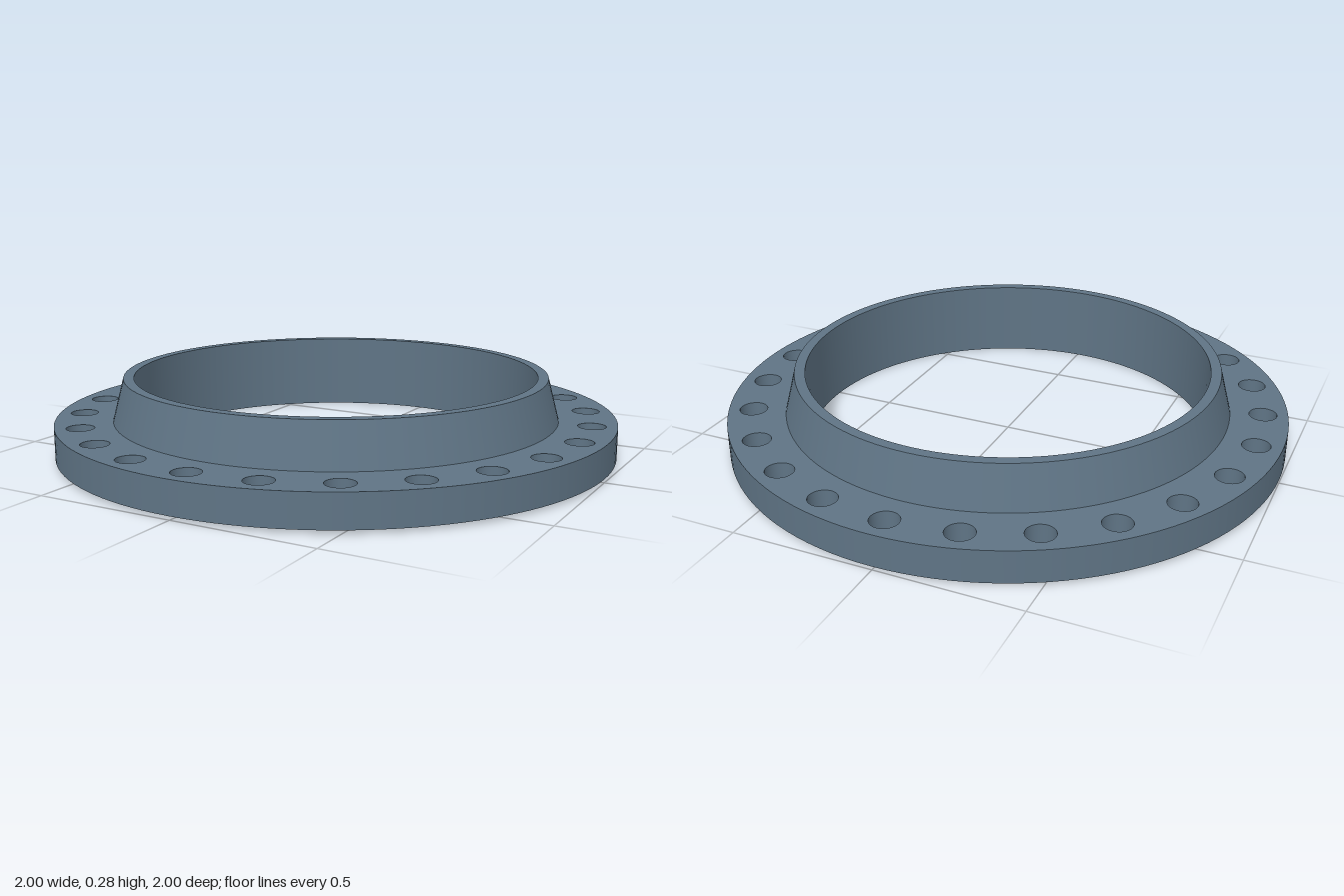
import * as THREE from 'three';

const SEGMENTS = 128, HOLE_SEGMENTS = 32, HOLES = 24;
const BORE = 0.72, NECK_TOP = 0.757, NECK_BASE = 0.797, FACE = 0.855, RIM = 1;
const BOLT_CIRCLE = 0.912, HOLE = 0.049;
const Y_PLATE = 0.012, Y_SHOULDER = 0.125, Y_TOP = 0.275;

export function createModel() {
  const model = new THREE.Group();
  model.name = 'weldNeckFlange';
  const material = new THREE.MeshStandardMaterial({ color: 0x5f7485 });

  const add = (name, geometry, parent = model) => {
    const mesh = new THREE.Mesh(geometry, material);
    mesh.name = name;
    parent.add(mesh);
    return mesh;
  };

  // One straight profile segment turned round the axis, so edges between segments stay sharp
  const turned = (r0, y0, r1, y1, segments = SEGMENTS) =>
    new THREE.LatheGeometry([new THREE.Vector2(r0, y0), new THREE.Vector2(r1, y1)], segments);

  const circle = (r, n, cx = 0, cy = 0) => Array.from({ length: n }, (_, i) => {
    const a = (i / n) * Math.PI * 2;
    return new THREE.Vector2(cx + r * Math.cos(a), cy + r * Math.sin(a));
  });

  const boltCentres = circle(BOLT_CIRCLE, HOLES);

  // Flat ring pierced by the bolt holes, facing up or down
  const drilledRing = (inner, y, up) => {
    const shape = new THREE.Shape(circle(RIM, SEGMENTS));
    shape.holes.push(new THREE.Path(circle(inner, SEGMENTS)));
    for (const c of boltCentres) {
      shape.holes.push(new THREE.Path(circle(HOLE, HOLE_SEGMENTS, c.x, c.y)));
    }
    return new THREE.ShapeGeometry(shape).rotateX(up ? -Math.PI / 2 : Math.PI / 2).translate(0, y, 0);
  };

  // Tapered neck and bore
  add('neckTaper', turned(NECK_BASE, Y_SHOULDER, NECK_TOP, Y_TOP));
  add('neckEnd', turned(NECK_TOP, Y_TOP, BORE, Y_TOP));
  add('bore', turned(BORE, Y_TOP, BORE, 0));

  // Raised sealing face underneath
  add('raisedFace', turned(BORE, 0, FACE, 0));
  add('raisedFaceEdge', turned(FACE, 0, FACE, Y_PLATE));

  // Bolting plate
  add('plateRim', turned(RIM, Y_PLATE, RIM, Y_SHOULDER));
  add('plateTop', drilledRing(NECK_BASE, Y_SHOULDER, true));
  add('plateUnderside', drilledRing(FACE, Y_PLATE, false));

  // Inward-facing walls of the bolt holes
  const boltHoles = new THREE.Group();
  boltHoles.name = 'boltHoles';
  model.add(boltHoles);
  const wall = turned(HOLE, Y_SHOULDER, HOLE, Y_PLATE, HOLE_SEGMENTS);
  for (const c of boltCentres) add('boltHole', wall, boltHoles).position.set(c.x, 0, c.y);

  return model;
}
